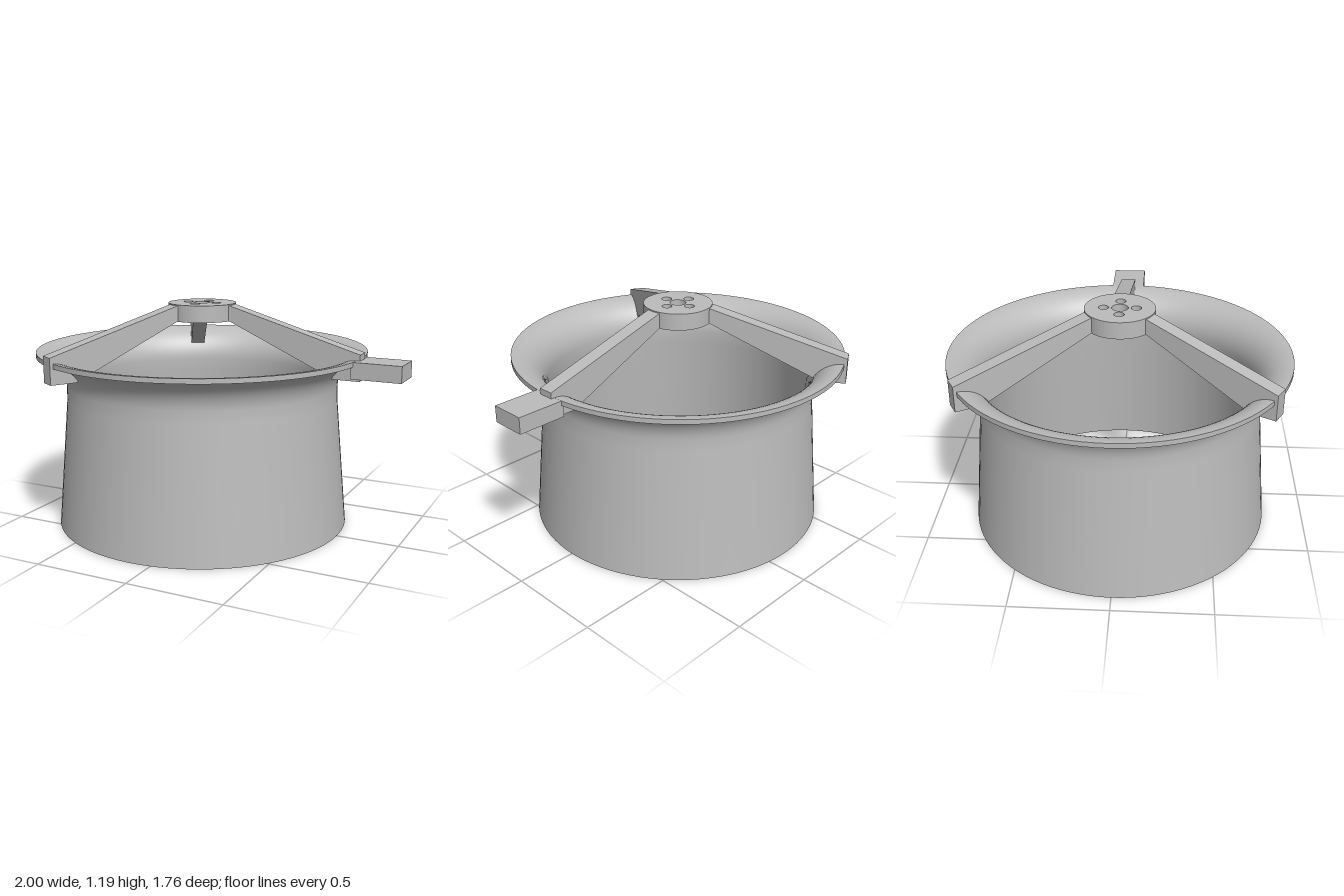
import * as THREE from 'three';

export function createModel() {
  const model = new THREE.Group();
  const assembly = new THREE.Group();
  assembly.name = 'ductAssembly';
  assembly.position.x = -0.12;
  model.add(assembly);

  const grey = new THREE.MeshStandardMaterial({ color: 0xbcbcbc });
  grey.name = 'grey';

  const add = (geometry, name, parent = assembly) => {
    const mesh = new THREE.Mesh(geometry, grey);
    mesh.name = name;
    parent.add(mesh);
    return mesh;
  };

  // Duct wall profile: tapered skirt, short straight neck, flared lip
  const wall = (base, neck, lipY) => {
    const points = [new THREE.Vector2(base, 0), new THREE.Vector2(neck, 0.69)];
    const steps = 14, rise = lipY - 0.76;
    for (let i = 0; i <= steps; i++) {
      const a = (i / steps) * Math.PI / 2;
      points.push(new THREE.Vector2(
        0.88 - (0.88 - neck) * Math.cos(a), 0.76 + rise * Math.sin(a)));
    }
    return points;
  };
  const outer = wall(0.79, 0.728, 0.92);
  const inner = wall(0.765, 0.703, 0.945);
  const lathe = (points, name) => add(new THREE.LatheGeometry(points, 96), name);
  lathe(outer, 'ductOuterWall');
  lathe(inner.slice().reverse(), 'ductInnerWall');
  lathe([outer[outer.length - 1], inner[inner.length - 1]], 'lipEdge');
  lathe([inner[0], outer[0]], 'baseEdge');

  // Motor mount hub with a centre hole and four screw holes
  const disc = new THREE.Shape().absarc(0, 0, 0.18, 0, Math.PI * 2);
  const hole = (x, y, r) =>
    disc.holes.push(new THREE.Path().absarc(x, y, r, 0, Math.PI * 2, true));
  hole(0, 0, 0.042);
  for (let i = 0; i < 4; i++) {
    const a = i * Math.PI / 2;
    hole(Math.cos(a) * 0.082, Math.sin(a) * 0.082, 0.026);
  }
  const hub = add(new THREE.ExtrudeGeometry(disc,
    { depth: 0.088, bevelEnabled: false, curveSegments: 32 }), 'motorHub');
  hub.rotation.x = -Math.PI / 2;
  hub.position.y = 1.098;

  // Three sloping arms from the hub out through the lip
  const side = new THREE.Shape([
    [0.155, 1.18], [0.155, 1.11], [0.76, 0.84], [0.895, 0.84], [0.895, 0.975], [0.18, 1.18],
  ].map(([x, y]) => new THREE.Vector2(x, y)));
  const armGeometry = new THREE.ExtrudeGeometry(side, { depth: 0.08, bevelEnabled: false });
  armGeometry.translate(0, 0, -0.04);
  for (let i = 0; i < 3; i++) {
    add(armGeometry, 'supportArm' + (i + 1)).rotation.y = i * Math.PI * 2 / 3;
  }

  // Mounting tab under the lip on the left side
  const tab = add(new THREE.BoxGeometry(0.255, 0.085, 0.18), 'mountingTab', model);
  tab.position.set(0.8725, 0.902, 0);

  return model;
}
